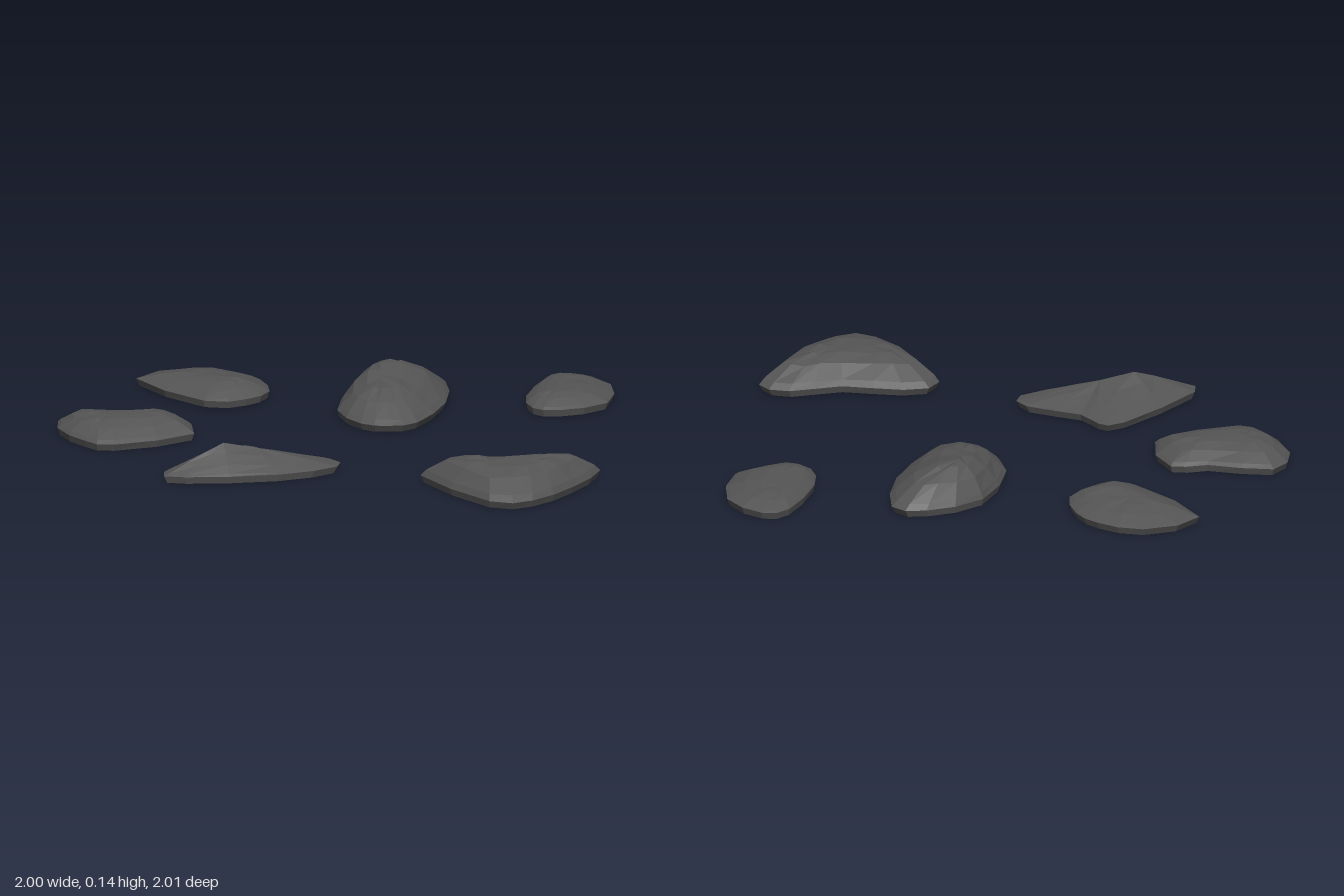
import * as THREE from 'three';

const RIM_HEIGHT = 0.025;
const DOME_RINGS = [0.92, 0.65, 0.32];

// outline: a few [x, z] points, clockwise from above; ridge: two [x, y, z] ends
// bulge: 1 gives straight slopes, higher values give a rounder dome
function stoneGeometry(outline, ridge, bulge) {
  const [a, b] = ridge.map((p) => new THREE.Vector3(...p));
  const footprint = new THREE.Line3(a.clone().setY(0), b.clone().setY(0));
  const n = outline.length * 2;

  // Round the outline with one extra point between each pair
  const curve = new THREE.CatmullRomCurve3(
    outline.map(([x, z]) => new THREE.Vector3(x, 0, z)), true, 'catmullrom', 0.5);

  // Every rim point runs up to its nearest point on the ridge
  const spokes = curve.getPoints(n).slice(0, n).map((rim) => {
    const s = footprint.closestPointToPointParameter(rim, true);
    return { rim, top: a.clone().lerp(b, s) };
  });
  const ring = (reach, height) => spokes.map(({ rim, top }, i) =>
    top.clone().lerp(rim, reach).setY(height(top.y, i)));

  // Underside edge, widest rim, slightly uneven dome rings, ridge
  const rings = [
    ring(0.95, () => 0),
    ring(1, () => RIM_HEIGHT),
    ...DOME_RINGS.map((reach, k) => ring(reach, (h, i) =>
      (h - (h - RIM_HEIGHT) * reach ** bulge) * (1 + 0.04 * Math.sin(i * 2.4 + k)))),
    ring(0, (h) => h),
  ];

  const corners = [];
  for (let k = 0; k < rings.length - 1; k++) {
    const low = rings[k], high = rings[k + 1];
    for (let i = 0; i < n; i++) {
      const j = (i + 1) % n;
      corners.push(low[i], high[i], low[j]);
      if (!high[i].equals(high[j])) corners.push(high[i], high[j], low[j]);
    }
  }
  // Flat underside
  const middle = footprint.getCenter(new THREE.Vector3());
  for (let i = 0; i < n; i++) corners.push(middle, rings[0][i], rings[0][(i + 1) % n]);

  const geometry = new THREE.BufferGeometry().setFromPoints(corners);
  geometry.computeVertexNormals();
  return geometry;
}

export function createModel() {
  const group = new THREE.Group();
  group.name = 'steppingStones';
  const material = new THREE.MeshStandardMaterial({ color: 0x555555, flatShading: true });
  material.name = 'darkStone';

  const addStone = (name, bulge, ridge, outline) => {
    const mesh = new THREE.Mesh(stoneGeometry(outline, ridge, bulge), material);
    mesh.name = name;
    group.add(mesh);
  };

  addStone('backStone', 2, [[-0.38, 0.065, -0.78], [-0.33, 0.075, -0.68]],
    [[-0.6, -0.9], [-0.39, -1], [-0.24, -0.91], [-0.18, -0.8], [-0.18, -0.64],
      [-0.28, -0.55], [-0.43, -0.56]]);

  addStone('rightStone', 2.8, [[-0.85, 0.08, -0.25], [-0.7, 0.08, -0.24]],
    [[-0.92, -0.46], [-0.7, -0.385], [-0.57, -0.38], [-0.55, -0.13], [-0.85, -0.04],
      [-0.94, -0.11], [-1, -0.3]]);

  addStone('centreStone', 2.2, [[0.16, 0.118, -0.38], [0.19, 0.14, -0.52]],
    [[0.33, -0.71], [0.445, -0.655], [0.39, -0.37], [0.24, -0.125], [0.135, -0.1],
      [0.045, -0.15], [0, -0.345], [0.12, -0.62]]);

  addStone('peakedStone', 1, [[-0.54, 0.115, 0.34], [-0.42, 0.09, 0.34]],
    [[-0.47, 0.08], [-0.38, 0.08], [-0.33, 0.18], [-0.155, 0.29], [-0.15, 0.4],
      [-0.37, 0.47], [-0.7, 0.44], [-0.755, 0.355]]);

  addStone('frontStone', 3.5, [[0.32, 0.11, 0.74], [0.46, 0.11, 0.75]],
    [[0.245, 0.51], [0.45, 0.575], [0.64, 0.55], [0.735, 0.63], [0.6, 0.83],
      [0.425, 0.985], [0.275, 0.965], [0.11, 0.575]]);

  addStone('leftStone', 2.8, [[0.77, 0.065, -0.34], [0.82, 0.058, -0.48]],
    [[0.8, -0.63], [0.9, -0.655], [1, -0.5], [0.94, -0.255], [0.755, -0.19],
      [0.67, -0.24], [0.68, -0.4]]);

  return group;
}
